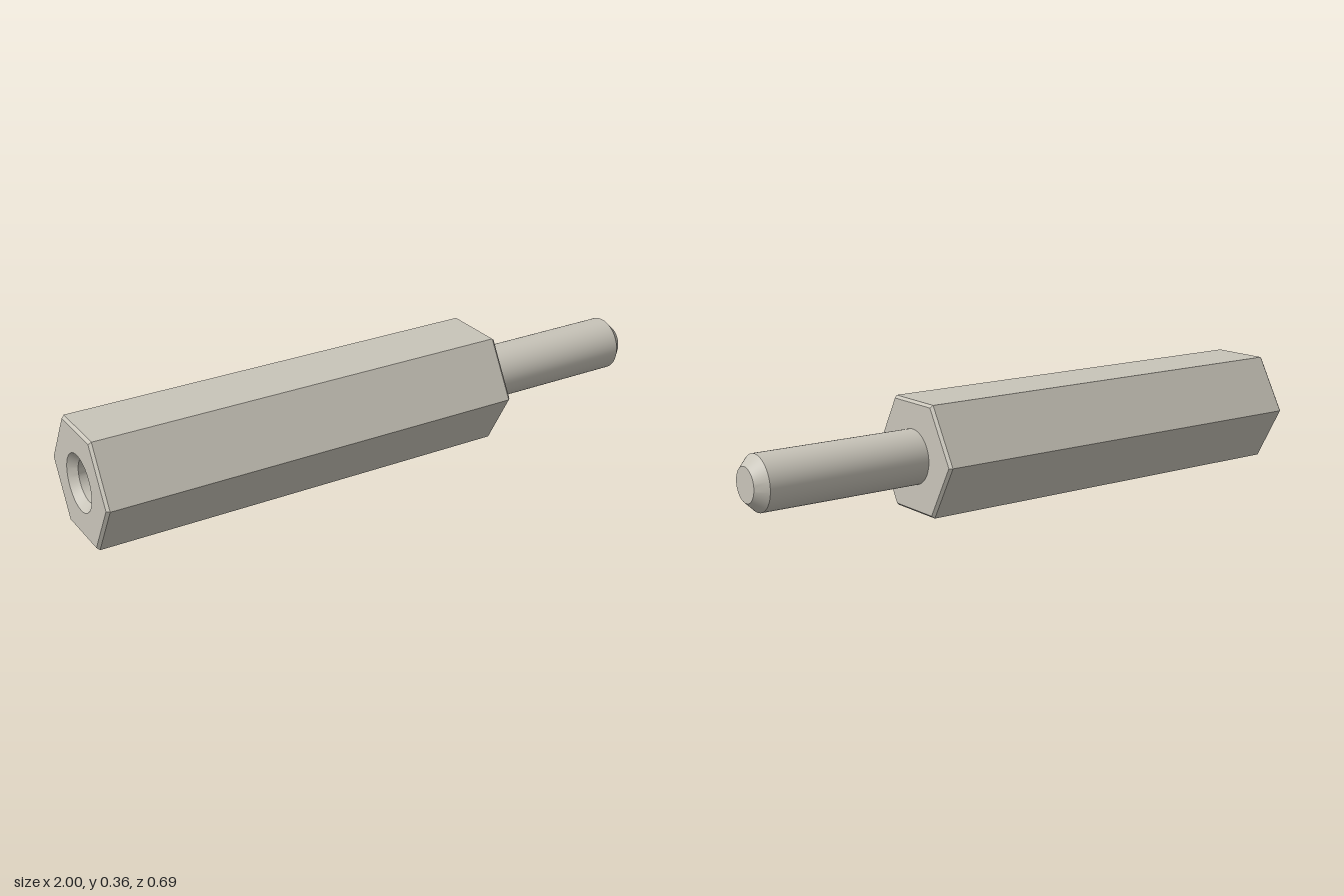
import * as THREE from 'three';
import { toCreasedNormals } from 'three/addons/utils/BufferGeometryUtils.js';

const steel = new THREE.MeshStandardMaterial({ color: 0xc8c4b9 });
steel.name = 'steel';

const HEX_R = 0.205;      // across corners / 2
const HEX_LENGTH = 1.414;
const CHAMFER = 0.009;
const BORE_R = 0.068;
const SINK_R = 0.092;
const STUD_R = 0.088;
const LENGTH = 1.99;

// Turned part along +y, with sharp profile edges
function turned(name, profile, sides) {
  const points = profile.map(([r, y]) => new THREE.Vector2(r, y));
  const geometry = toCreasedNormals(new THREE.LatheGeometry(points, sides), Math.PI / 9);
  const mesh = new THREE.Mesh(geometry, steel);
  mesh.name = name;
  return mesh;
}

export function createModel() {
  // Everything is built along +y, then laid onto the slanted axis
  const spacer = new THREE.Group();
  spacer.name = 'spacer';

  // Six-sided body with chamfered ends and a closed stud face
  spacer.add(turned('hexBody', [
    [HEX_R - CHAMFER, 0],
    [HEX_R, CHAMFER],
    [HEX_R, HEX_LENGTH - CHAMFER],
    [HEX_R - CHAMFER, HEX_LENGTH],
    [0, HEX_LENGTH],
  ], 6));

  // Socket end face: hexagon with a round opening
  const hexagon = new THREE.Shape();
  for (let i = 0; i < 6; i++) {
    const a = Math.PI / 2 + i * Math.PI / 3;
    const x = (HEX_R - CHAMFER) * Math.cos(a), y = (HEX_R - CHAMFER) * Math.sin(a);
    if (i === 0) hexagon.moveTo(x, y);
    else hexagon.lineTo(x, y);
  }
  hexagon.closePath();
  hexagon.holes.push(new THREE.Path().absarc(0, 0, SINK_R, 0, Math.PI * 2, true));
  const socketFace = new THREE.Mesh(new THREE.ShapeGeometry(hexagon, 24).rotateX(Math.PI / 2), steel);
  socketFace.name = 'socketFace';
  spacer.add(socketFace);

  // Countersunk blind bore
  spacer.add(turned('bore', [
    [0, 0.6],
    [BORE_R, 0.6],
    [BORE_R, 0.026],
    [SINK_R, 0],
  ], 48));

  // Round stud with chamfered tip
  spacer.add(turned('stud', [
    [STUD_R, HEX_LENGTH],
    [STUD_R, LENGTH - 0.035],
    [0.055, LENGTH],
    [0, LENGTH],
  ], 48));

  // Lay the axis level and swing it toward the front
  spacer.rotation.z = -Math.PI / 2;
  const axis = new THREE.Group();
  axis.name = 'axis';
  axis.add(spacer);
  axis.rotation.y = -THREE.MathUtils.degToRad(12);
  axis.position.set(-0.958, 0.1775, -0.148);

  const model = new THREE.Group();
  model.name = 'hexSpacer';
  model.add(axis);
  return model;
}
